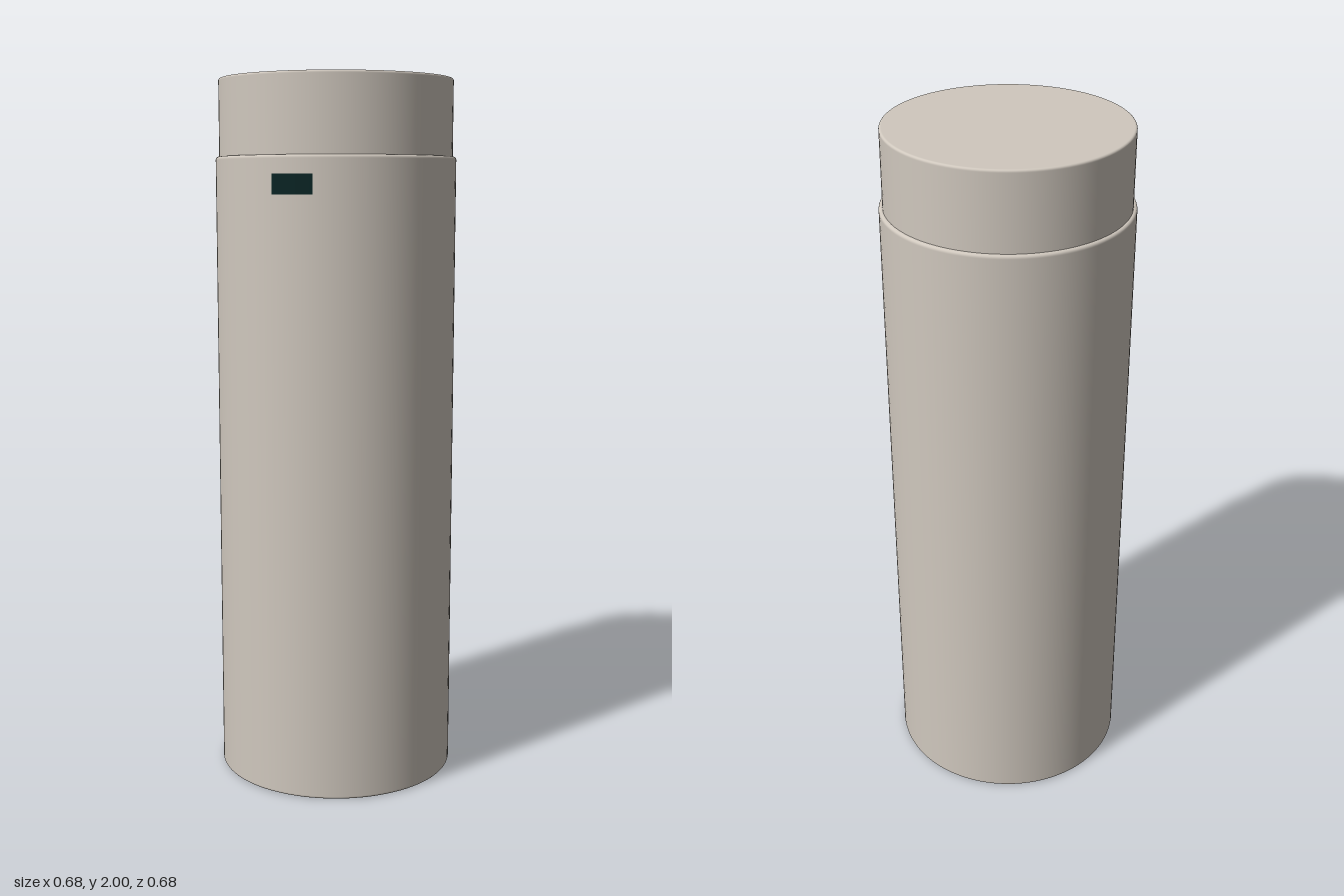
import * as THREE from 'three';

const SEGMENTS = 96;

// Quarter-round profile from angle a0 to a1 (degrees) around (cx, cy)
function fillet(cx, cy, r, a0, a1, steps = 5) {
  const pts = [];
  for (let i = 0; i <= steps; i++) {
    const a = THREE.MathUtils.degToRad(a0 + (a1 - a0) * i / steps);
    pts.push([cx + r * Math.cos(a), cy + r * Math.sin(a)]);
  }
  return pts;
}

// Rounded solid of revolution; extra rings beside each fillet keep flat areas flat
function roundedDrum(radius, y0, y1, rBottom, rTop) {
  const e = 0.002;
  const profile = [
    [0, y0], [radius - rBottom - e, y0],
    ...fillet(radius - rBottom, y0 + rBottom, rBottom, -90, 0),
    [radius, y0 + rBottom + e], [radius, y1 - rTop - e],
    ...fillet(radius - rTop, y1 - rTop, rTop, 0, 90),
    [radius - rTop - e, y1], [0, y1],
  ].map(([x, y]) => new THREE.Vector2(x, y));
  return new THREE.LatheGeometry(profile, SEGMENTS);
}

export function createModel() {
  const shell = new THREE.MeshStandardMaterial({ color: 0xd0c8be });
  shell.name = 'warm grey shell';
  const dark = new THREE.MeshStandardMaterial({ color: 0x0a2424, side: THREE.DoubleSide });
  dark.name = 'dark teal badge';

  const group = new THREE.Group();
  const add = (name, geometry, material) => {
    const mesh = new THREE.Mesh(geometry, material);
    mesh.name = name;
    group.add(mesh);
    return mesh;
  };

  // Tall bottle body and the slightly narrower lid
  add('body', roundedDrum(0.341, 0, 1.785, 0.006, 0.008), shell);
  add('lid', roundedDrum(0.331, 1.77, 2, 0.004, 0.006), shell);

  // Plain badge wrapped around the front of the body
  const half = Math.asin(0.058 / 0.342);
  const badge = add('badge',
    new THREE.CylinderGeometry(0.3425, 0.3425, 0.054, 16, 1, true, -half, 2 * half), dark);
  badge.position.y = 1.708;

  return group;
}
